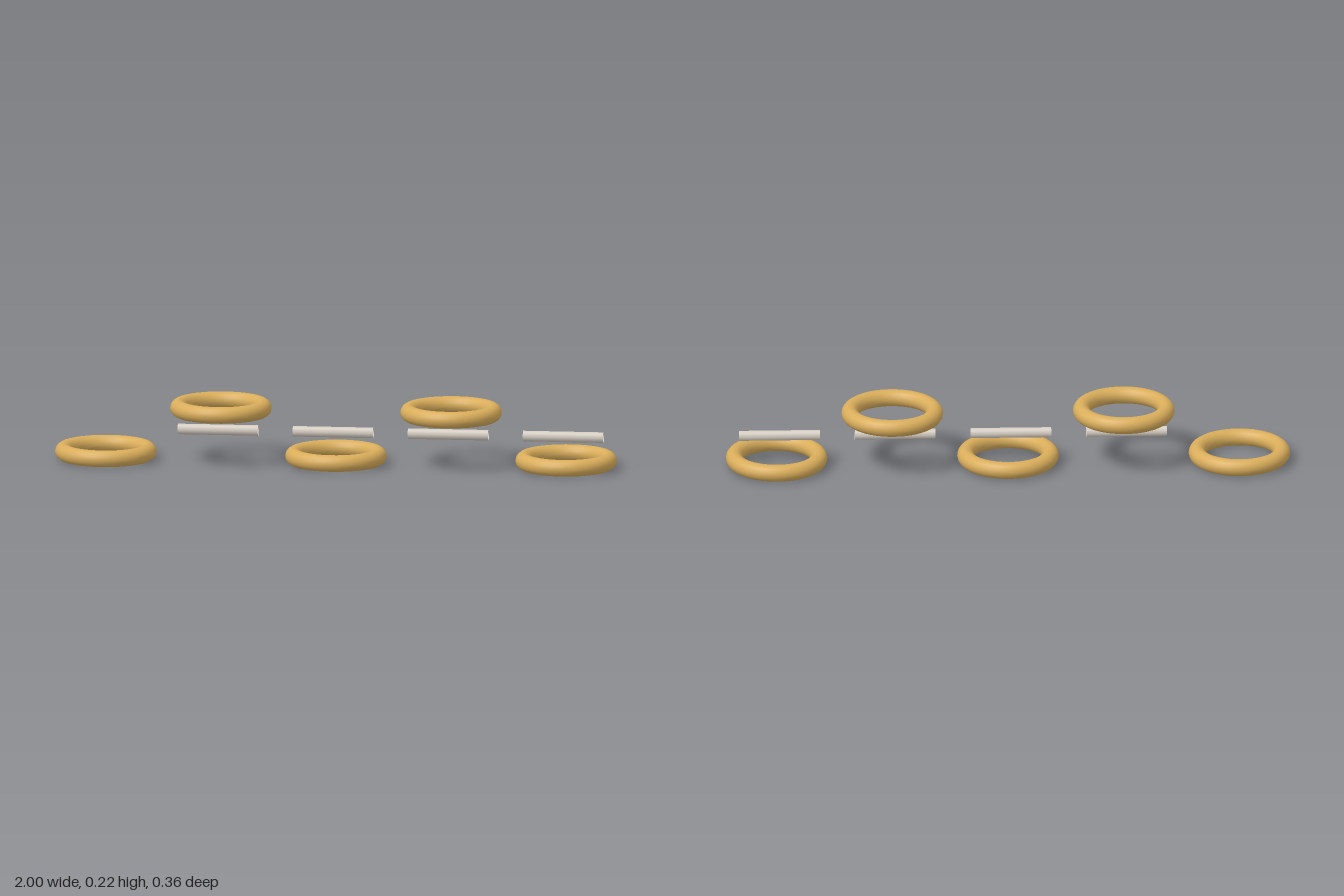
import * as THREE from 'three';

export function createModel() {
  const group = new THREE.Group();

  const gold = new THREE.MeshStandardMaterial({ color: 0xd9ad5b });
  gold.name = 'gold';
  const silver = new THREE.MeshStandardMaterial({ color: 0xd6cec3, side: THREE.DoubleSide });
  silver.name = 'paleSilver';

  const spacing = 0.41;
  const ringGeometry = new THREE.TorusGeometry(0.15, 0.03, 16, 48).rotateX(Math.PI / 2);
  // Hollow, open-ended rod lying along x
  const rodGeometry = new THREE.CylinderGeometry(0.019, 0.019, 0.286, 8, 1, true).rotateZ(Math.PI / 2);

  for (let i = 0; i < 5; i++) {
    const x = (i - 2) * spacing;

    // Flat rings alternate between a low and a high level
    const ring = new THREE.Mesh(ringGeometry, gold);
    ring.name = `ring${i + 1}`;
    ring.position.set(x, i % 2 ? 0.195 : 0.03, 0);
    group.add(ring);

    // Connecting rods sit midway between the two levels
    if (i > 0) {
      const rod = new THREE.Mesh(rodGeometry, silver);
      rod.name = `connectingRod${i}`;
      rod.position.set(x - 0.01, 0.115, 0);
      group.add(rod);
    }
  }
  return group;
}
